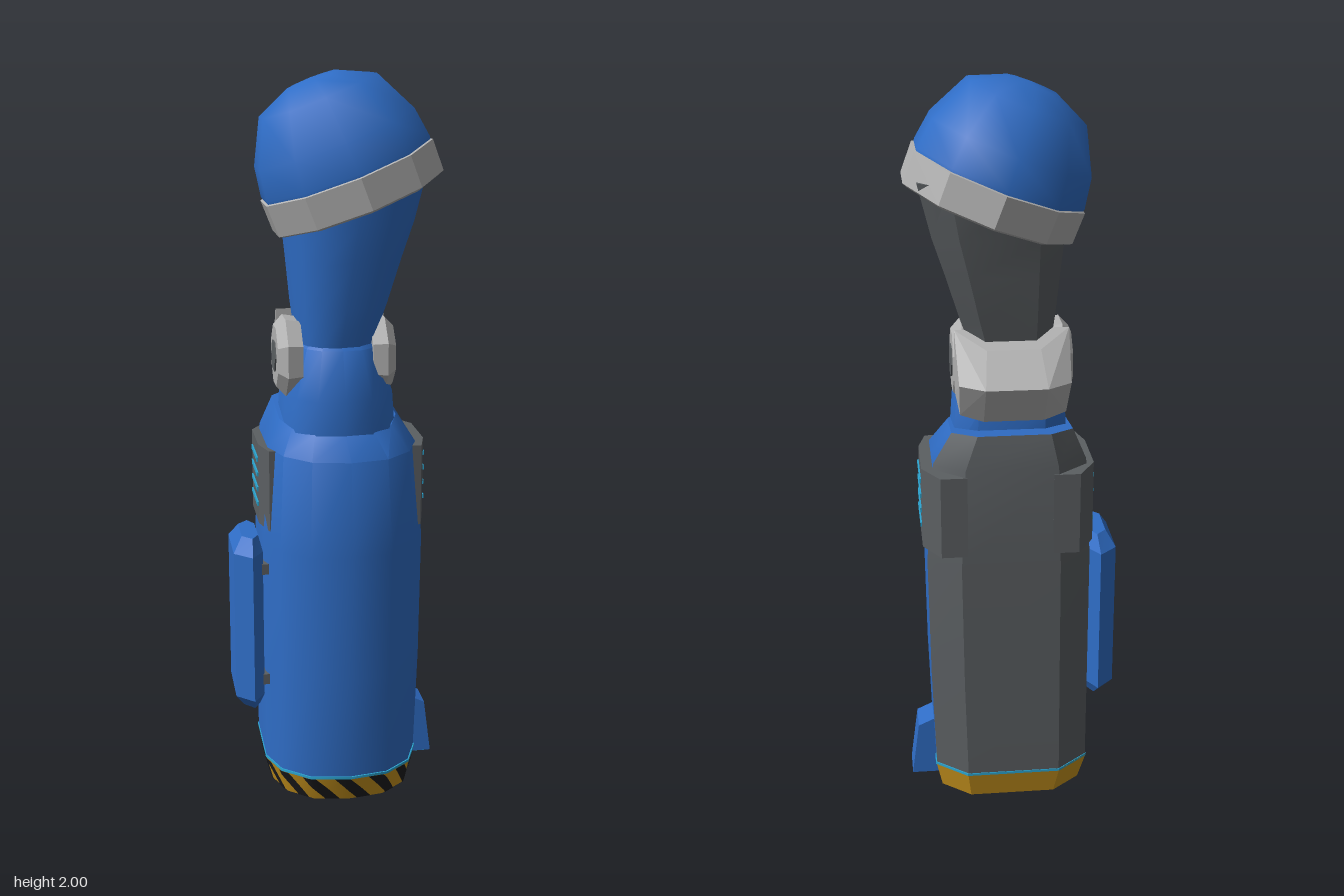
import * as THREE from 'three';
import { toCreasedNormals } from 'three/addons/utils/BufferGeometryUtils.js';
import { ConvexGeometry } from 'three/addons/geometries/ConvexGeometry.js';

function mat(name, color, double) {
  const m = new THREE.MeshStandardMaterial({ color });
  m.name = name;
  if (double) m.side = THREE.DoubleSide;
  return m;
}

// Unit outline of the arm (x, z), running from the front centre round by +x
const OUTLINE = [[0, 1], [0.5, 0.92], [0.84, 0.65], [1, 0.25], [1, -0.3], [1, -0.69], [0.6, -1],
  [-0.6, -1], [-1, -0.69], [-1, -0.3], [-1, 0.25], [-0.84, 0.65], [-0.5, 0.92]];
const POD_OUTLINE = [[-0.2, 1], [1, 0.65], [1, -0.65], [-0.2, -1], [-1, -0.6], [-1, 0.6]];

// Point of an outline scaled to a section [y, xMin, xMax, zMin, zMax, tilt]
function place([px, pz], [y, x0, x1, z0, z1, tilt = 0]) {
  const z = (z0 + z1) / 2 + pz * (z1 - z0) / 2;
  return [(x0 + x1) / 2 + px * (x1 - x0) / 2, y - z * tilt, z];
}

// Closed skin through the sections; pick(column, row) gives a material index
function loft(outline, sections, pick = () => 0, crease = 0.65) {
  const buckets = [[], []];
  const n = outline.length, last = sections.length - 1;
  const rings = sections.map(s => outline.map(p => place(p, s)));
  const add = (k, ...pts) => pts.forEach(p => buckets[k].push(...p));
  for (let i = 0; i < n; i++) {
    const k = (i + 1) % n;
    for (let j = 0; j < last; j++) {
      const a = rings[j][i], b = rings[j][k], c = rings[j + 1][k], d = rings[j + 1][i];
      add(pick(i, j), a, b, c, a, c, d);
    }
    add(pick(i, -1), place([0, 0], sections[0]), rings[0][k], rings[0][i]);
    add(pick(i, last), place([0, 0], sections[last]), rings[last][i], rings[last][k]);
  }
  const g = new THREE.BufferGeometry();
  g.setAttribute('position', new THREE.Float32BufferAttribute([...buckets[0], ...buckets[1]], 3));
  g.addGroup(0, buckets[0].length / 3, 0);
  if (buckets[1].length) g.addGroup(buckets[0].length / 3, buckets[1].length / 3, 1);
  return toCreasedNormals(g, crease);
}

export function createModel() {
  const root = new THREE.Group();
  const blue = mat('blue paint', 0x2f6dc6);
  const dark = mat('dark grey', 0x5b5f62);
  const light = mat('light grey', 0xb2b2b2);
  const gold = mat('warning yellow', 0xcb961e);
  const black = mat('black', 0x1c1c1e, true);
  const cyan = mat('cyan glow', 0x2ca6d2);

  function add(name, geo, material, pos, parent = root) {
    const m = new THREE.Mesh(geo, material);
    m.name = name;
    if (pos) m.position.set(...pos);
    parent.add(m);
    return m;
  }
  const isBack = i => i >= 5 && i <= 7;

  // Forearm shell with a grey back
  add('forearm', loft(OUTLINE, [
    [0.11, -0.205, 0.22, -0.23, 0.215],
    [0.4, -0.205, 0.23, -0.235, 0.22],
    [0.75, -0.205, 0.235, -0.235, 0.215],
    [1.02, -0.19, 0.215, -0.235, 0.2, 0.06],
    [1.09, -0.155, 0.165, -0.215, 0.15, 0.14]],
  (i, j) => (isBack(i) && j >= 0 && j < 4 ? 1 : 0)), [blue, dark]);

  // Warning ring at the open end, with a blue floor
  const ringLow = [0.03, -0.185, 0.205, -0.215, 0.19], ringHigh = [0.108, -0.207, 0.222, -0.232, 0.217];
  add('warningRing', loft(OUTLINE, [ringLow, ringHigh], (i, j) => (j === -1 ? 1 : 0)), [gold, blue]);
  add('ringSeam', loft(OUTLINE, [
    [0.104, -0.207, 0.223, -0.232, 0.219], [0.111, -0.207, 0.223, -0.232, 0.219]]), cyan);

  // Slanted hazard stripes round the front of the ring
  const onRing = (u, t) => {
    const n = OUTLINE.length, w = ((u % n) + n) % n, i = Math.floor(w), f = w - i;
    const a = OUTLINE[i], b = OUTLINE[(i + 1) % n];
    const p = [(a[0] + (b[0] - a[0]) * f) * 1.016, (a[1] + (b[1] - a[1]) * f) * 1.016];
    return place(p, ringLow.map((v, k) => v + (ringHigh[k] - v) * t));
  };
  for (let s = 0; s < 9; s++) {
    const u0 = -3.9 + s * 0.88, verts = [], index = [];
    for (let r = 0; r <= 5; r++) for (let c = 0; c <= 4; c++) {
      verts.push(...onRing(u0 + c * 0.1 + (1 - r / 5) * 0.6, 0.02 + r * 0.185));
      if (r < 5 && c < 4) {
        const a = r * 5 + c;
        index.push(a, a + 1, a + 6, a, a + 6, a + 5);
      }
    }
    const g = new THREE.BufferGeometry();
    g.setAttribute('position', new THREE.Float32BufferAttribute(verts, 3));
    g.setIndex(index);
    g.computeVertexNormals();
    add('hazardStripe', g, black);
  }

  // Nozzles under the floor
  for (const [x, z] of [[0.14, -0.09], [0.01, -0.09], [-0.12, -0.09], [0.08, 0.07], [-0.05, 0.07]]) {
    add('nozzle', toCreasedNormals(new THREE.CylinderGeometry(0.046, 0.04, 0.02, 6), 0.3), black, [x, 0.024, z]);
    add('nozzleTip', toCreasedNormals(new THREE.CylinderGeometry(0.022, 0.006, 0.016, 6), 0.3), black, [x, 0.008, z]);
  }

  // Side vents: wedge housings and glowing slits, mirrored about the forearm
  for (const side of [1, -1]) {
    const X = x => (side > 0 ? x : 0.034 - x);
    const pts = [[0.17, 0.08], [0.225, 0.08], [0.246, 0], [0.246, -0.16], [0.2, -0.238], [0.13, -0.238]];
    const shape = new THREE.Shape(pts.map(([x, z]) => new THREE.Vector2(X(x), -z)));
    const g = new THREE.ExtrudeGeometry(shape, { depth: 0.225, bevelEnabled: false });
    g.rotateX(-Math.PI / 2);
    add('ventHousing', g, dark, [0, 0.79, 0]);
    for (let k = 0; k < 4; k++)
      add('ventSlit', new THREE.BoxGeometry(0.008, 0.012, 0.14), cyan, [X(0.246), 0.845 + k * 0.042, -0.07]);
  }

  // Side pod on two brackets
  add('sidePod', loft(POD_OUTLINE.map(([x, z]) => [-x, z]).reverse(), [
    [0.27, -0.265, -0.22, -0.09, 0.075],
    [0.31, -0.29, -0.21, -0.138, 0.12],
    [0.73, -0.29, -0.21, -0.138, 0.12],
    [0.77, -0.265, -0.22, -0.09, 0.075]], undefined, 0.2), blue);
  for (const y of [0.355, 0.68])
    add('podBracket', new THREE.BoxGeometry(0.05, 0.03, 0.17), dark, [-0.2, y, -0.01]);

  // Small thruster fin at the lower side
  const fin = new THREE.Shape([[0.2, 0.05], [0.288, 0.05], [0.268, 0.205], [0.225, 0.225], [0.2, 0.225]]
    .map(p => new THREE.Vector2(...p)));
  add('fin', new THREE.ExtrudeGeometry(fin, { depth: 0.09, bevelEnabled: false }), blue, [0, 0, -0.117]);
  add('finGlow', new THREE.BoxGeometry(0.06, 0.008, 0.065), cyan, [0.25, 0.047, -0.072]);

  // Elbow stub and upper arm
  add('elbow', loft(OUTLINE, [
    [1.02, -0.15, 0.16, -0.14, 0.15],
    [1.16, -0.14, 0.15, -0.15, 0.152],
    [1.29, -0.105, 0.11, -0.12, 0.122],
    [1.32, -0.08, 0.08, -0.09, 0.09]]), blue);
  add('upperArm', loft(OUTLINE, [
    [1.22, -0.09, 0.09, -0.1, 0.095],
    [1.3, -0.1, 0.1, -0.118, 0.115],
    [1.4, -0.112, 0.135, -0.135, 0.132],
    [1.52, -0.122, 0.172, -0.158, 0.152],
    [1.62, -0.132, 0.205, -0.17, 0.166],
    [1.76, -0.145, 0.24, -0.185, 0.18]],
  (i, j) => (isBack(i) || (i === 4 && j >= 3) ? 1 : 0)), [blue, dark]);

  // Elbow hinge caps
  for (const side of [1, -1]) {
    const hinge = new THREE.Group();
    hinge.name = 'hingeCap';
    hinge.position.set(side > 0 ? 0.125 : -0.137, 1.26, 0);
    hinge.rotation.z = -side * Math.PI / 2;
    root.add(hinge);
    const ring = new THREE.CylinderGeometry(0.085, 0.112, 0.025, 8).rotateY(Math.PI / 8);
    const base = new THREE.CylinderGeometry(0.112, 0.105, 0.04, 8).rotateY(Math.PI / 8);
    add('capBevel', toCreasedNormals(ring, 0.3), light, [0, 0.0145, 0], hinge);
    add('capBase', toCreasedNormals(base, 0.3), light, [0, -0.018, 0], hinge);
    add('capBolt', toCreasedNormals(new THREE.CylinderGeometry(0.045, 0.045, 0.02, 6), 0.3), dark, [0, 0.021, 0], hinge);
  }

  // Faceted guard behind the elbow
  const guard = [];
  for (const s of [1, -1])
    for (const [x, y, z] of [[0.15, 1.37, -0.092], [0.15, 1.2, -0.09], [0.145, 1.25, -0.19],
      [0.14, 1.15, -0.13], [0.08, 1.25, -0.235], [0.08, 1.14, -0.16], [0.07, 1.33, -0.15]])
      guard.push(new THREE.Vector3(x * s, y, z));
  add('elbowGuard', new ConvexGeometry(guard), light);

  // Tilted shoulder dome with its rim
  const shoulder = new THREE.Group();
  shoulder.name = 'shoulder';
  shoulder.position.set(0.045, 1.7, 0);
  shoulder.rotation.z = 0.367;
  root.add(shoulder);
  const lathe = pts => new THREE.LatheGeometry(pts.map(p => new THREE.Vector2(...p)), 10);
  add('shoulderDome', lathe([[0.235, 0.04], [0.238, 0.06], [0.225, 0.14], [0.165, 0.255], [0.07, 0.297], [0, 0.303]]),
    blue, null, shoulder);
  add('shoulderRim', toCreasedNormals(lathe([[0, -0.02], [0.2, -0.02], [0.225, -0.042], [0.242, -0.035],
    [0.243, 0.05], [0.23, 0.055]]), 0.4), light, null, shoulder);
  return root;
}
